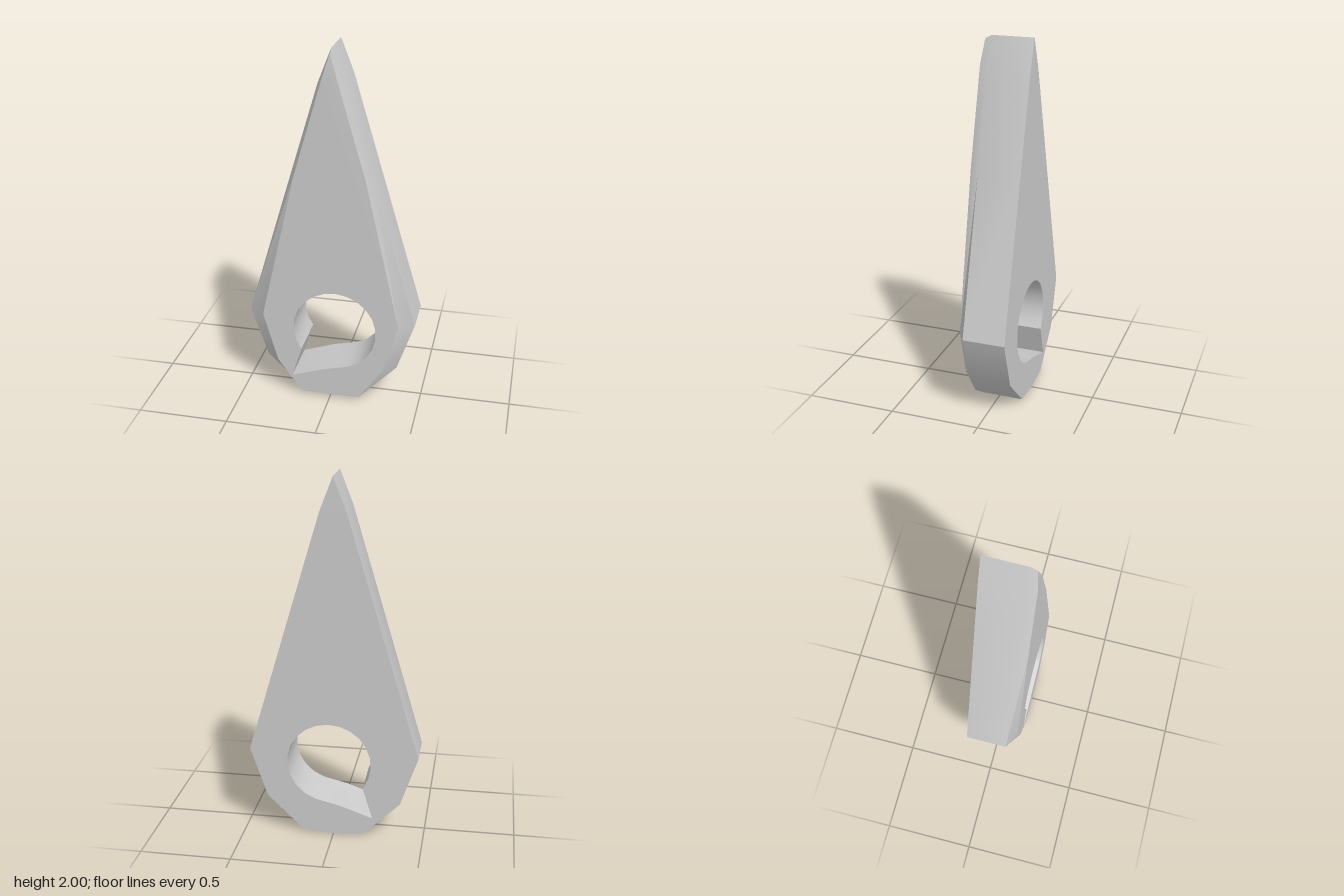
import * as THREE from 'three';
import { mergeGeometries, toCreasedNormals } from 'three/addons/utils/BufferGeometryUtils.js';

const BACK = -0.14, RIM = 0.09, FRONT = 0.14;

// Half outlines from the tip down to the base, on the left (+x) side
const outerHalf = [[0, 2], [0.07, 1.82], [0.216, 1.33], [0.465, 0.49], [0.37, 0.21], [0.17, 0.015], [0, 0]];
const innerHalf = [[0, 1.98], [0.04, 1.85], [0.19, 1.33], [0.38, 0.49], [0.3, 0.21], [0.165, 0.018], [0, 0.014]];

// Full counter-clockwise loop from a half outline
function mirrorLoop(half) {
  const left = half.map(([x, y]) => new THREE.Vector2(-x, y));
  const right = half.slice(1, -1).reverse().map(([x, y]) => new THREE.Vector2(x, y));
  return [...left, ...right];
}

// Round eye with a pointed spur at its lower corner, counter-clockwise
function eyeLoop() {
  const pts = [];
  const start = -71, end = 216, steps = 18;
  for (let i = 0; i <= steps; i++) {
    const a = THREE.MathUtils.degToRad(start + (end - start) * i / steps);
    pts.push(new THREE.Vector2(0.025 + 0.232 * Math.cos(a), 0.428 + 0.232 * Math.sin(a)));
  }
  pts.push(new THREE.Vector2(-0.218, 0.113), new THREE.Vector2(-0.04, 0.175));
  return pts;
}

// Flat plate with the eye cut out
function plate(loop, hole, z) {
  const shape = new THREE.Shape(loop);
  shape.holes.push(new THREE.Path(hole));
  const g = new THREE.ShapeGeometry(shape);
  g.translate(0, 0, z);
  return g;
}

function finish(g) {
  const flat = g.index ? g.toNonIndexed() : g;
  flat.deleteAttribute('uv');
  flat.deleteAttribute('normal');
  return flat;
}

// Strip of quads joining a front loop to a back loop
function band(front, zFront, back, zBack) {
  const pos = [];
  front.forEach((a, i) => {
    const j = (i + 1) % front.length;
    const A = [a.x, a.y, zFront(a)], D = [front[j].x, front[j].y, zFront(front[j])];
    const B = [back[i].x, back[i].y, zBack], C = [back[j].x, back[j].y, zBack];
    pos.push(...A, ...B, ...C, ...A, ...C, ...D);
  });
  const g = new THREE.BufferGeometry();
  g.setAttribute('position', new THREE.Float32BufferAttribute(pos, 3));
  return g;
}

export function createModel() {
  const outer = mirrorLoop(outerHalf), inner = mirrorLoop(innerHalf), eye = eyeLoop();
  // The very tip of the front face dips backwards
  const frontZ = (p) => (p.y > 1.9 ? 0.125 : FRONT);

  const frontFace = plate(inner, eye, FRONT);
  const p = frontFace.attributes.position;
  for (let i = 0; i < p.count; i++) p.setZ(i, frontZ({ y: p.getY(i) }));

  const backFace = plate(outer, eye, BACK);
  backFace.index.array.reverse();

  const eyeInside = [...eye].reverse();
  const parts = [
    finish(frontFace),
    finish(backFace),
    band(inner, frontZ, outer, RIM), // bevel
    band(outer, () => RIM, outer, BACK), // side wall
    band(eyeInside, () => FRONT, eyeInside, BACK), // wall of the eye
  ];
  const geometry = toCreasedNormals(mergeGeometries(parts), 0.5);

  const body = new THREE.Mesh(geometry, new THREE.MeshStandardMaterial({ color: 0xcccccc }));
  body.name = 'pointedPendantBody';
  const group = new THREE.Group();
  group.name = 'pendant';
  group.add(body);
  return group;
}
